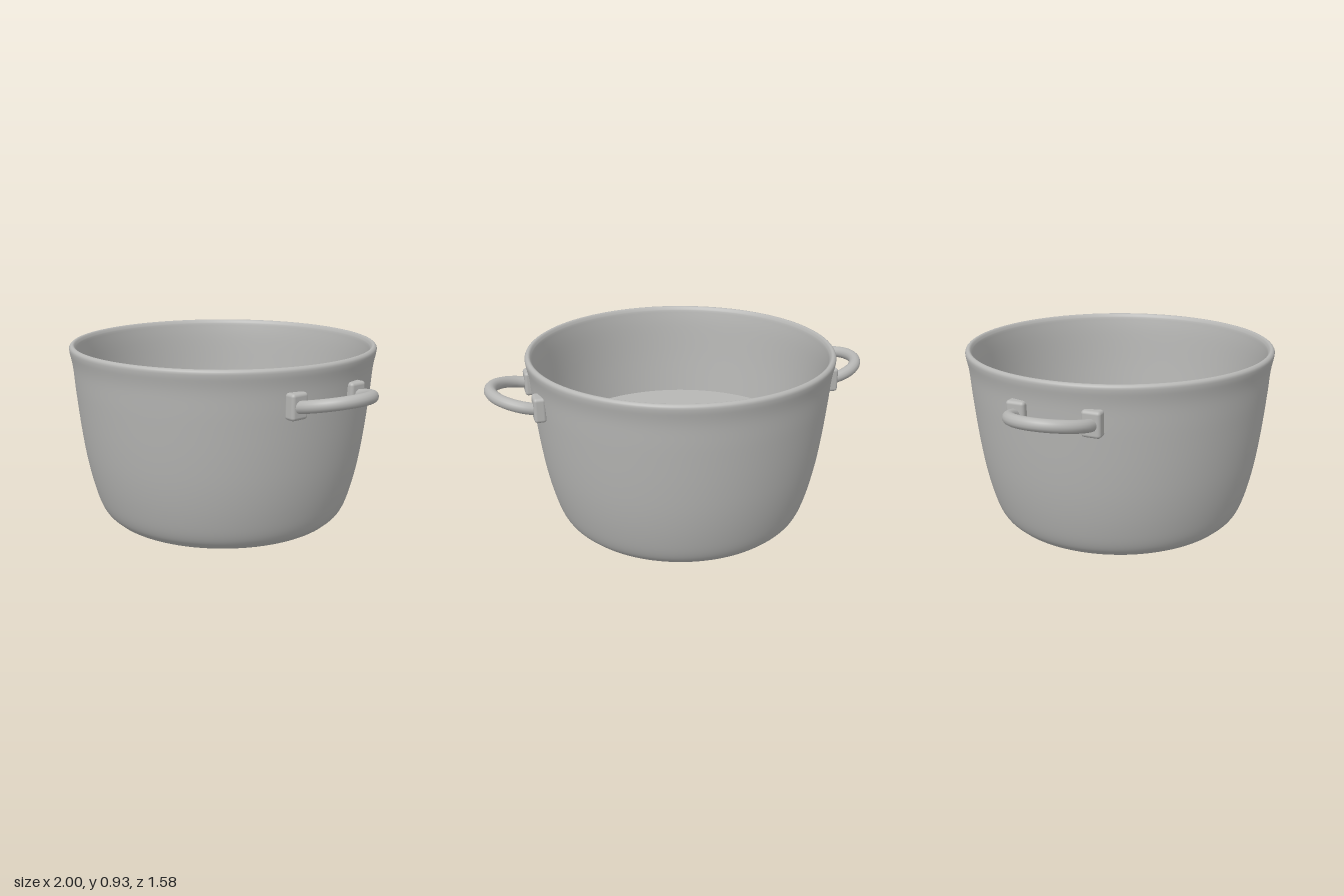
import * as THREE from 'three';
import { RoundedBoxGeometry } from 'three/addons/geometries/RoundedBoxGeometry.js';

const steel = new THREE.MeshStandardMaterial({ color: 0xb6b6b4 });
steel.name = 'steel grey';

const FLOOR_Y = 0.42;
const FLOOR_R = 0.708;

function addMesh(parent, name, geometry) {
  const mesh = new THREE.Mesh(geometry, steel);
  mesh.name = name;
  parent.add(mesh);
  return mesh;
}

// Smooth curve through [radius, height] pairs
function smoothProfile(pairs, steps) {
  return new THREE.SplineCurve(pairs.map(([r, y]) => new THREE.Vector2(r, y))).getPoints(steps);
}

// Loop handle with two mounting pads, built for the +x side
function createHandle(name) {
  const handle = new THREE.Group();
  handle.name = name;

  // Half-round bar rising away from the wall
  const points = [new THREE.Vector3(0.75, 0.745, 0.19)];
  for (let i = 0; i <= 12; i++) {
    const a = Math.PI * (0.5 - i / 12);
    const reach = Math.cos(a);
    points.push(new THREE.Vector3(0.78 + 0.19 * reach, 0.75 + 0.04 * reach, 0.19 * Math.sin(a)));
  }
  points.push(new THREE.Vector3(0.75, 0.745, -0.19));
  const path = new THREE.CatmullRomCurve3(points);
  addMesh(handle, 'handleBar', new THREE.TubeGeometry(path, 48, 0.03, 14));

  // Mounting pads
  for (const side of [-1, 1]) {
    const pad = addMesh(handle, 'handlePad', new RoundedBoxGeometry(0.06, 0.125, 0.095, 3, 0.016));
    pad.position.set(0.757, 0.752, side * 0.187);
  }
  return handle;
}

export function createModel() {
  const model = new THREE.Group();
  model.name = 'cookingPot';

  // Outer wall, rolled rim and inner wall
  const outer = smoothProfile([
    [0, 0], [0.3, 0.002], [0.55, 0.008], [0.615, 0.035], [0.655, 0.09], [0.69, 0.2],
    [0.72, 0.34], [0.743, 0.5], [0.763, 0.69], [0.774, 0.82], [0.787, 0.89],
  ], 50);
  const rim = smoothProfile([
    [0.787, 0.89], [0.789, 0.915], [0.778, 0.928], [0.765, 0.926], [0.755, 0.908],
  ], 12).slice(1);
  const inner = smoothProfile([
    [0.755, 0.908], [0.743, 0.82], [0.727, 0.62], [FLOOR_R, FLOOR_Y],
  ], 14).slice(1);
  addMesh(model, 'potBody', new THREE.LatheGeometry([...outer, ...rim, ...inner], 96));

  // Flat inner surface
  const floor = addMesh(model, 'innerFloor', new THREE.CircleGeometry(FLOOR_R, 96));
  floor.rotation.x = -Math.PI / 2;
  floor.position.y = FLOOR_Y;

  // Handles on both sides
  const left = createHandle('leftHandle');
  const right = createHandle('rightHandle');
  right.rotation.y = Math.PI;
  model.add(left, right);

  return model;
}
